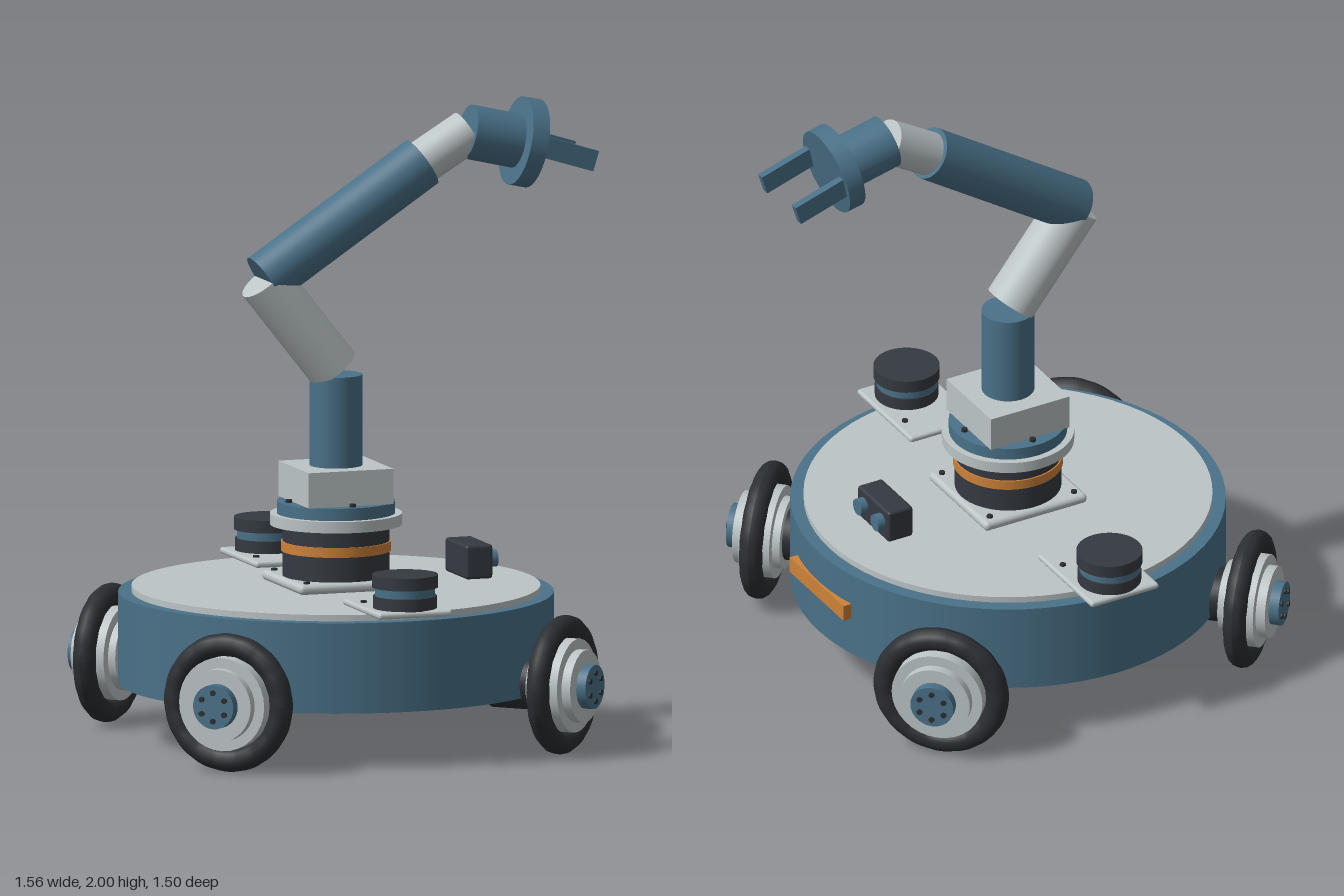
import * as THREE from 'three';
import { RoundedBoxGeometry } from 'three/addons/geometries/RoundedBoxGeometry.js';

const material = (name, color) => Object.assign(new THREE.MeshStandardMaterial({ color }), { name });

export function createModel() {
  const blue = material('steel blue', 0x4a7188);
  const light = material('light grey', 0xbcc4c6);
  const dark = material('charcoal', 0x353a41);
  const rubber = material('rubber black', 0x2b2e32);
  const orange = material('signal orange', 0xcd8239);

  const model = new THREE.Group();
  model.name = 'mobileRobot';
  const CX = -0.058; // centre line of the chassis and the arm

  const add = (parent, name, geometry, mat, x = 0, y = 0, z = 0) => {
    const mesh = new THREE.Mesh(geometry, mat);
    mesh.name = name;
    mesh.position.set(x, y, z);
    parent.add(mesh);
    return mesh;
  };
  // upright cylinder between two heights
  const disc = (parent, name, r, y0, y1, mat, x = CX, z = 0, seg = 48) =>
    add(parent, name, new THREE.CylinderGeometry(r, r, y1 - y0, seg), mat, x, (y0 + y1) / 2, z);
  // cylinder along z between two depths
  const axial = (parent, name, r, z0, z1, mat, x = 0, y = 0, seg = 32) =>
    add(parent, name, new THREE.CylinderGeometry(r, r, z1 - z0, seg).rotateX(Math.PI / 2), mat, x, y, (z0 + z1) / 2);
  // cylinder between two points in the plane of the arm
  const link = (name, r, [x0, y0], [x1, y1], mat) => {
    const mesh = add(model, name, new THREE.CylinderGeometry(r, r, Math.hypot(x1 - x0, y1 - y0), 40), mat,
      (x0 + x1) / 2, (y0 + y1) / 2, 0);
    mesh.rotation.z = Math.atan2(y1 - y0, x1 - x0) - Math.PI / 2;
    return mesh;
  };

  // chassis
  disc(model, 'chassis', 0.684, 0.18, 0.467, blue, CX, 0, 72);
  disc(model, 'deck', 0.642, 0.46, 0.487, light, CX, 0, 72);
  add(model, 'signalPlate', new THREE.BoxGeometry(0.04, 0.053, 0.342), orange, 0.613, 0.335, 0);

  // lumpy tyre: the tube swells and narrows around the ring
  const tyre = new THREE.TorusGeometry(0.183, 0.037, 14, 112);
  const p = tyre.attributes.position;
  for (let i = 0; i < p.count; i++) {
    const a = Math.atan2(p.getY(i), p.getX(i));
    const k = 0.94 + 0.06 * Math.sqrt(Math.abs(Math.cos(a * 8)));
    const cx = 0.183 * Math.cos(a), cy = 0.183 * Math.sin(a);
    p.setXYZ(i, cx + (p.getX(i) - cx) * k, cy + (p.getY(i) - cy) * k, p.getZ(i) * k);
  }
  tyre.computeVertexNormals();

  // four wheels on diagonal axles, local +z pointing outwards
  for (const sx of [-1, 1]) for (const sz of [-1, 1]) {
    const wheel = new THREE.Group();
    wheel.name = (sz > 0 ? 'front' : 'back') + (sx > 0 ? 'Left' : 'Right') + 'Wheel';
    wheel.position.set(CX + sx * 0.557, 0.22, sz * 0.557);
    wheel.rotation.y = Math.atan2(sx, sz);
    model.add(wheel);
    add(wheel, 'tyre', tyre, rubber);
    axial(wheel, 'rim', 0.148, -0.05, 0.05, light);
    axial(wheel, 'hub', 0.115, -0.075, 0.08, light);
    axial(wheel, 'hubCap', 0.07, 0.07, 0.112, blue);
    axial(wheel, 'axle', 0.085, -0.235, -0.07, rubber);
    for (let i = 0; i < 6; i++) {
      const a = i * Math.PI / 3 + Math.PI / 6;
      axial(wheel, 'hubBolt', 0.009, 0.11, 0.118, rubber, 0.045 * Math.cos(a), 0.045 * Math.sin(a), 10);
    }
  }

  // round scanners on overhanging plates
  for (const s of [-1, 1]) {
    const scanner = new THREE.Group();
    scanner.name = s > 0 ? 'frontScanner' : 'backScanner';
    model.add(scanner);
    add(scanner, 'scannerPlate', new RoundedBoxGeometry(0.245, 0.02, 0.345, 3, 0.009), light, CX, 0.496, s * 0.575);
    disc(scanner, 'scannerBase', 0.1, 0.505, 0.545, dark, CX, s * 0.645);
    disc(scanner, 'scannerBand', 0.095, 0.545, 0.572, blue, CX, s * 0.645);
    disc(scanner, 'scannerCap', 0.104, 0.572, 0.612, dark, CX, s * 0.645);
    for (const t of [-1, 1]) disc(scanner, 'plateBolt', 0.01, 0.505, 0.512, rubber, CX + t * 0.087, s * 0.502, 10);
  }

  // twin-lens camera
  add(model, 'cameraBody', new RoundedBoxGeometry(0.09, 0.108, 0.2, 3, 0.01), dark, 0.385, 0.549, 0);
  for (const s of [-1, 1]) {
    const lens = axial(model, 'cameraLens', 0.027, -0.018, 0.018, blue);
    lens.position.set(0.437, 0.553, s * 0.055);
    lens.rotation.y = Math.PI / 2;
  }

  // turntable
  add(model, 'mountPlate', new RoundedBoxGeometry(0.37, 0.032, 0.37, 3, 0.015), light, CX, 0.502, 0);
  disc(model, 'turntableMotor', 0.168, 0.515, 0.685, dark);
  disc(model, 'signalRing', 0.173, 0.597, 0.628, orange);
  disc(model, 'turntableRing', 0.208, 0.68, 0.716, light);
  disc(model, 'turntableTop', 0.186, 0.716, 0.755, blue);
  for (let i = 0; i < 4; i++) {
    const a = i * Math.PI / 2, b = a + Math.PI / 4;
    disc(model, 'turntableBolt', 0.01, 0.755, 0.765, rubber, CX + 0.157 * Math.cos(a), 0.157 * Math.sin(a), 10);
    disc(model, 'mountBolt', 0.01, 0.517, 0.525, rubber, CX + 0.215 * Math.cos(b), 0.215 * Math.sin(b), 10);
  }
  add(model, 'armBase', new THREE.BoxGeometry(0.283, 0.112, 0.283), light, CX, 0.811, 0);

  // arm, joint to joint
  const elbow = [-0.299, 1.467], wrist = [0.38, 1.903];
  link('armPost', 0.083, [CX, 0.86], [CX, 1.155], blue);
  link('lowerArm', 0.083, [-0.067, 1.175], elbow, light);
  link('upperArm', 0.084, elbow, [0.228, 1.814], blue);
  link('forearm', 0.07, [0.2, 1.795], wrist, light);
  link('wrist', 0.086, wrist, [0.56, 1.861], blue);
  link('gripperFlange', 0.141, [0.542, 1.866], [0.597, 1.854], blue);

  // gripper fingers
  for (const s of [-1, 1]) {
    const finger = add(model, s > 0 ? 'rightFinger' : 'leftFinger',
      new THREE.BoxGeometry(0.2, 0.066, 0.025), blue, 0.671, 1.835, s * 0.107);
    finger.rotation.z = -0.3;
  }
  return model;
}
